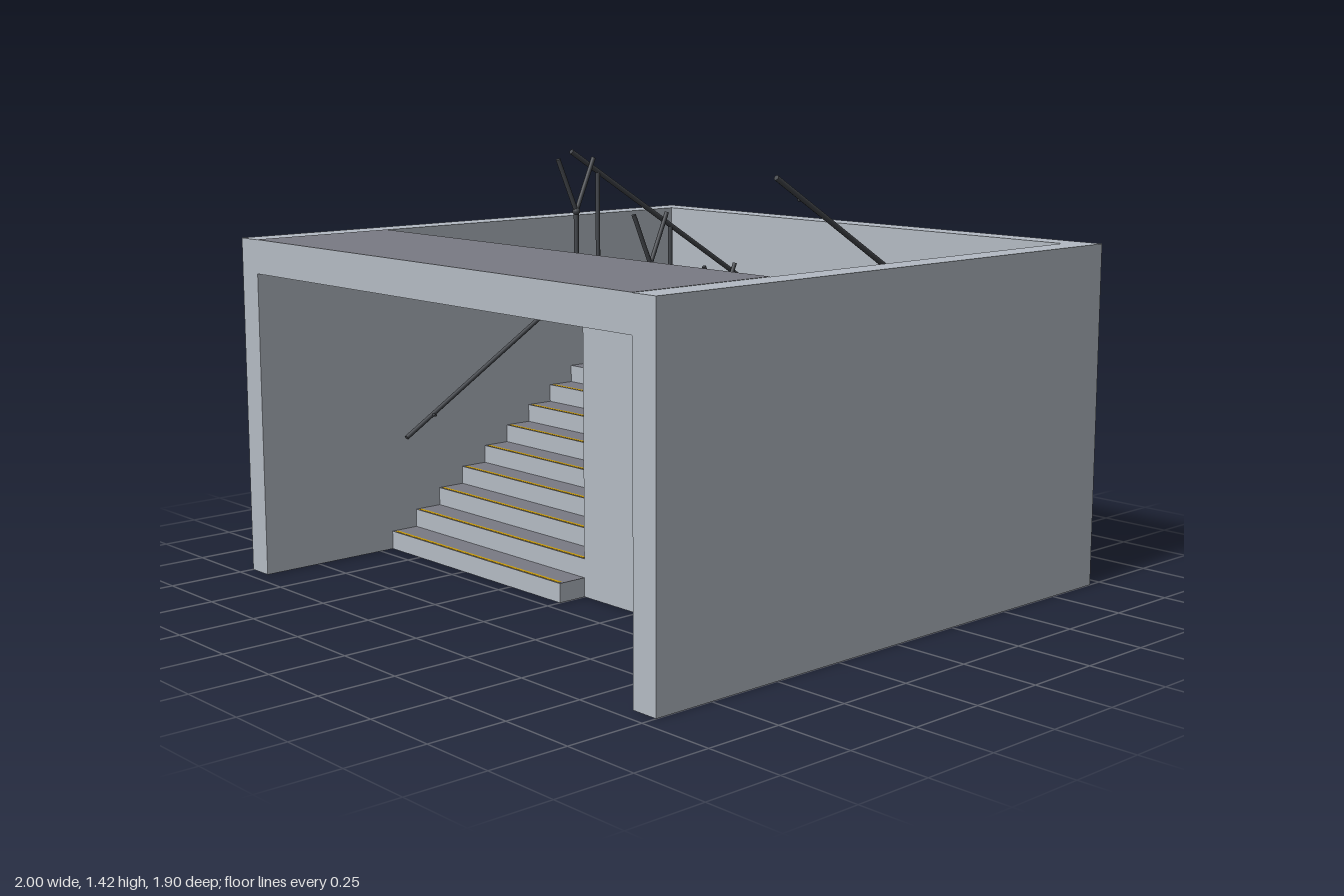
import * as THREE from 'three';

const H = 1.11, IN = 0.91;            // wall height, inner half width
const Z_BACK = -0.36, Z_FRONT = 0.45; // extent of both flights
const N = 8, RUN = (Z_FRONT - Z_BACK) / N, RISE = H / 18, MID = H / 2;

const mat = (name, color) => Object.assign(new THREE.MeshStandardMaterial({ color }), { name });

export function createModel() {
  const concrete = mat('concrete', 0xb4bbc4);
  const paving = mat('paving', 0x7a7b84);
  const yellow = mat('nosingYellow', 0xcb9d0c);
  const metal = mat('railMetal', 0x45484d);
  const model = new THREE.Group();
  model.name = 'stairwell';

  const group = (name) => {
    const g = new THREE.Group();
    g.name = name;
    model.add(g);
    return g;
  };
  const add = (parent, name, geometry, material) => {
    const m = new THREE.Mesh(geometry, material);
    m.name = name;
    parent.add(m);
    return m;
  };
  // Box given by its limits on each axis
  const block = (parent, name, [x0, x1], [y0, y1], [z0, z1], material) => {
    const g = new THREE.BoxGeometry(x1 - x0, y1 - y0, z1 - z0);
    g.translate((x0 + x1) / 2, (y0 + y1) / 2, (z0 + z1) / 2);
    return add(parent, name, g, material);
  };
  const withTop = [concrete, concrete, paving, concrete, concrete, concrete];
  // Round bar between two points
  const rod = (parent, name, a, b, r = 0.008) => {
    const p = new THREE.Vector3(...a), q = new THREE.Vector3(...b);
    const d = q.clone().sub(p);
    const m = add(parent, name, new THREE.CylinderGeometry(r, r, d.length(), 12), metal);
    m.position.copy(p).add(q).multiplyScalar(0.5);
    m.quaternion.setFromUnitVectors(new THREE.Vector3(0, 1, 0), d.normalize());
    return m;
  };
  const shapeOf = (pts) => new THREE.Shape(pts.map(([x, y]) => new THREE.Vector2(x, y)));

  // U-shaped surrounding wall, open at the front
  const wall = new THREE.ExtrudeGeometry(shapeOf([
    [-1, -0.95], [1, -0.95], [1, 0.95], [IN, 0.95], [IN, -0.865],
    [-IN, -0.865], [-IN, 0.95], [-1, 0.95],
  ]), { depth: H, bevelEnabled: false });
  wall.rotateX(Math.PI / 2).translate(0, H, 0);
  add(model, 'outerWall', wall, concrete);

  // Upper floor over the entrance, and the half-way landing
  block(model, 'upperFloor', [-IN, IN], [1.0, H + 0.001], [Z_FRONT, 0.95], withTop);
  block(model, 'landing', [-IN, IN], [0, MID], [-0.865, Z_BACK], withTop);
  // Thin partition closing the space below the upper flight
  block(model, 'partition', [0, IN], [0, MID + N * RISE - 0.0925], [0.337, 0.349], concrete);

  // Side profile (z, y) extruded across half the width
  const flight = (name, profile, xRight) => {
    const g = new THREE.ExtrudeGeometry(shapeOf(profile), { depth: IN, bevelEnabled: false });
    g.rotateY(-Math.PI / 2).translate(xRight, 0, 0);
    add(model, name, g, concrete);
  };
  const lower = [[Z_BACK, 0], [Z_FRONT, 0]];
  const upperTop = [], upperBottom = [];
  for (let k = 0; k < N; k++) {
    const zl = Z_FRONT - k * RUN, yl = (k + 1) * RISE;
    lower.push([zl, yl], [zl - RUN, yl]);
    const zu = Z_BACK + k * RUN, yu = MID + (k + 1) * RISE;
    upperTop.push([zu, yu], [zu + RUN, yu]);
    upperBottom.push([zu, yu - 0.0925], [zu + RUN, yu - 0.0925]);
  }
  flight('lowerFlight', lower, 0);
  flight('upperFlight', [...upperBottom, ...upperTop.reverse()], IN);

  // Paved treads with yellow nosing strips
  const treads = group('treads');
  const tread = (x, y, nose, dir) => {
    const span = (a, b) => [nose + dir * a, nose + dir * b].sort((p, q) => p - q);
    block(treads, 'tread', x, [y, y + 0.001], span(0, RUN), paving);
    block(treads, 'nosing', [x[0] + 0.01, x[1] - 0.01], [y + 0.001, y + 0.002],
      span(0.004, 0.016), yellow);
  };
  for (let k = 0; k < N; k++) {
    tread([-IN, 0], (k + 1) * RISE, Z_FRONT - k * RUN, -1);
    tread([0, IN], MID + (k + 1) * RISE, Z_BACK + k * RUN, 1);
  }

  // Sloping handrails on both side walls, with small brackets
  const slope = RISE / RUN;
  const wallRail = (name, x, yAt) => {
    const g = group(name);
    rod(g, 'rail', [x, yAt(0.4), 0.4], [x, yAt(-0.315), -0.315]);
    for (const z of [0.29, -0.21]) {
      rod(g, 'bracket', [x, yAt(z), z], [x - Math.sign(x) * 0.02, yAt(z), z], 0.005);
    }
  };
  wallRail('lowerWallRail', -0.885, (z) => 0.39 - (z - 0.4) * slope);
  wallRail('upperWallRail', 0.882, (z) => 1.375 + (z - 0.4) * slope);

  // Central balustrade: sloping rail, straight posts and forked posts
  const centre = group('centralBalustrade');
  const railY = (z) => 1.41 + (z - 0.4) * slope;
  const treadY = (z) => MID + (Math.floor((z - Z_BACK) / RUN) + 1) * RISE;
  rod(centre, 'rail', [0.012, railY(0.4), 0.4], [0.012, railY(-0.322), -0.322]);
  for (let i = 0; i < 3; i++) {
    const zs = 0.295 - i * 3 * RUN, zf = 0.4 - i * 3 * RUN, x = 0.034;
    rod(centre, 'straightPost', [0.012, treadY(zs), zs], [0.012, railY(zs), zs], 0.007);
    const yJoint = railY(zf) - 0.18;
    rod(centre, 'forkStem', [x, treadY(zf), zf], [x, yJoint, zf]);
    add(centre, 'forkJoint', new THREE.SphereGeometry(0.012, 12, 8), metal).position.set(x, yJoint, zf);
    for (const s of [-1, 1]) {
      rod(centre, 'forkArm', [x, yJoint, zf], [x, yJoint + 0.16, zf + s * 0.07], 0.007);
    }
  }
  return model;
}
